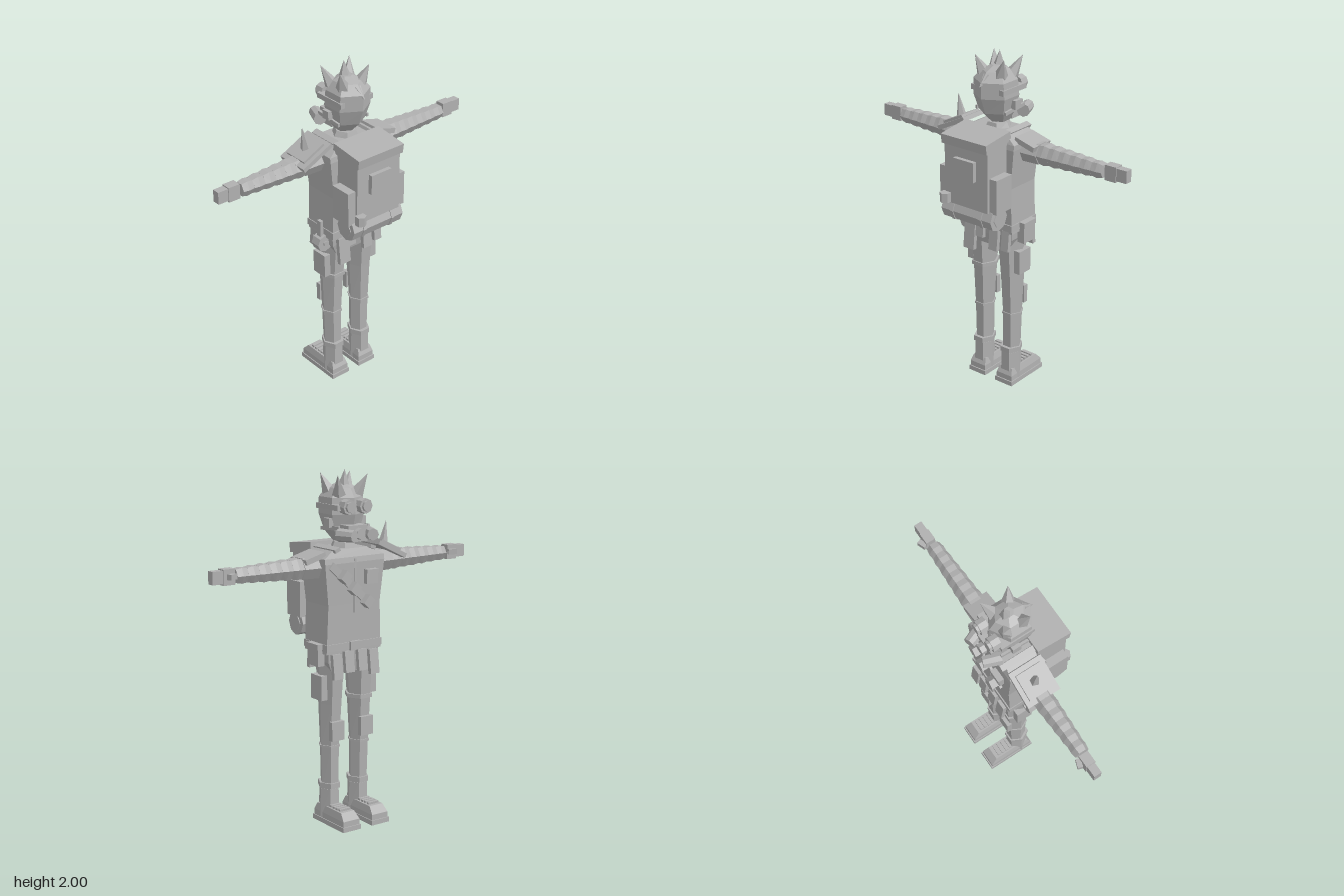
import * as THREE from 'three';

const grey = new THREE.MeshStandardMaterial({ color: 0xb0b0b0, flatShading: true });
grey.name = 'plain grey';

export function createModel() {
  const model = new THREE.Group();
  model.name = 'wastelandTraveller';

  const add = (name, geometry, x = 0, y = 0, z = 0, rx = 0, ry = 0, rz = 0) => {
    const mesh = new THREE.Mesh(geometry, grey);
    mesh.name = name;
    mesh.position.set(x, y, z);
    mesh.rotation.set(rx, ry, rz);
    model.add(mesh);
    return mesh;
  };
  const box = (name, w, h, d, ...place) => add(name, new THREE.BoxGeometry(w, h, d), ...place);
  const tube = (name, r0, r1, h, n, ...place) => add(name, new THREE.CylinderGeometry(r0, r1, h, n), ...place);

  // closed solid through n-sided rings, each [y, radiusX, radiusZ, centreX, centreZ]
  const loft = (rings, n, phase = 0) => {
    const corner = ([y, rx, rz, cx = 0, cz = 0], i) => {
      const a = phase + (i / n) * Math.PI * 2;
      return [cx + rx * Math.cos(a), y, cz + rz * Math.sin(a)];
    };
    const p = [];
    const first = rings[0], last = rings[rings.length - 1];
    const middle = ([y, , , cx = 0, cz = 0]) => [cx, y, cz];
    for (let i = 0; i < n; i++) {
      for (let k = 0; k < rings.length - 1; k++) {
        const a = corner(rings[k], i), b = corner(rings[k + 1], i);
        const c = corner(rings[k], i + 1), d = corner(rings[k + 1], i + 1);
        p.push(...a, ...b, ...c, ...c, ...b, ...d);
      }
      p.push(...middle(first), ...corner(first, i), ...corner(first, i + 1));
      p.push(...middle(last), ...corner(last, i + 1), ...corner(last, i));
    }
    const g = new THREE.BufferGeometry();
    g.setAttribute('position', new THREE.Float32BufferAttribute(p, 3));
    g.computeVertexNormals();
    return g;
  };
  // the same with rectangular rings, given by half widths
  const blockLoft = (rings) =>
    loft(rings.map(([y, w, d, x, z]) => [y, w * Math.SQRT2, d * Math.SQRT2, x, z]), 4, Math.PI / 4);

  // pointed spike from a base to a tip
  const spike = (name, base, tip, r) => {
    const a = new THREE.Vector3(...base), b = new THREE.Vector3(...tip);
    const mesh = add(name, new THREE.ConeGeometry(r, a.distanceTo(b), 5));
    mesh.position.copy(a).lerp(b, 0.5);
    mesh.quaternion.setFromUnitVectors(new THREE.Vector3(0, 1, 0), b.sub(a).normalize());
  };

  // head, neck and spiked crown
  add('head', loft([
    [1.61, 0.06, 0.06, 0, -0.05], [1.67, 0.1, 0.1, 0, -0.03], [1.76, 0.125, 0.13, 0, -0.025],
    [1.85, 0.12, 0.125, 0, -0.02], [1.9, 0.08, 0.085, 0, -0.025], [1.925, 0.03, 0.03, 0, -0.03],
  ], 6, Math.PI / 6));
  box('headBand', 0.225, 0.03, 0.2, 0, 1.8, -0.045);
  add('neck', loft([[1.55, 0.045, 0.06], [1.6, 0.035, 0.05], [1.66, 0.03, 0.045]], 6), 0, 0, -0.05);
  spike('crownSpike', [0, 1.89, -0.045], [0, 2, -0.055], 0.042);
  spike('backSpike', [0, 1.87, 0.05], [0, 1.83, 0.12], 0.03);
  for (const s of [-1, 1]) {
    spike('crownSpike', [s * 0.06, 1.87, -0.085], [s * 0.1, 1.975, -0.13], 0.04);
    spike('crownSpike', [s * 0.06, 1.88, 0.01], [s * 0.1, 1.98, 0.035], 0.04);
  }

  // goggles and breathing mask
  box('mask', 0.13, 0.09, 0.1, 0, 1.66, -0.13);
  tube('mouthValve', 0.032, 0.032, 0.05, 6, 0, 1.66, -0.185, Math.PI / 2);
  for (const s of [-1, 1]) {
    tube('goggleRim', 0.042, 0.042, 0.05, 8, s * 0.055, 1.805, -0.155, Math.PI / 2);
    tube('goggleLens', 0.03, 0.03, 0.03, 8, s * 0.055, 1.805, -0.18, Math.PI / 2);
    tube('maskFilter', 0.033, 0.038, 0.1, 8, s * 0.08, 1.655, -0.185, -Math.PI / 2, 0, s * 0.35);
    box('maskStrap', 0.012, 0.02, 0.17, s * 0.1, 1.685, -0.06, 0.1);
    box('earPiece', 0.03, 0.05, 0.05, s * 0.11, 1.715, -0.06);
  }

  // jacket and hips
  add('jacket', blockLoft([
    [1.0, 0.185, 0.105, 0, -0.04], [1.27, 0.175, 0.108, 0, -0.04], [1.5, 0.2, 0.115, 0, -0.04],
    [1.53, 0.2, 0.11, 0, -0.04], [1.575, 0.13, 0.09, 0, -0.04],
  ]));
  add('collar', loft([[1.55, 0.09, 0.085], [1.605, 0.06, 0.065]], 6), 0, 0, -0.045);
  add('hips', blockLoft([[0.88, 0.13, 0.075], [0.95, 0.165, 0.09], [1.06, 0.175, 0.1]]), 0, 0, -0.045);
  box('belt', 0.375, 0.04, 0.225, 0, 1.035, -0.04);
  box('beltBuckle', 0.07, 0.05, 0.02, 0, 1.035, -0.155);

  // hanging flaps and belt pouches: [x, y, z, width, height, tilt]
  for (const [x, y, z, w, h, tilt] of [
    [-0.11, 0.92, 0.07, 0.075, 0.16, -0.1], [0.06, 0.94, 0.065, 0.06, 0.13, -0.1],
    [-0.05, 0.97, 0.055, 0.06, 0.09, -0.1], [0.14, 0.95, 0.06, 0.05, 0.12, -0.1],
    [-0.12, 0.93, -0.165, 0.06, 0.14, 0.12], [-0.04, 0.95, -0.165, 0.06, 0.12, 0.12],
    [0.05, 0.95, -0.165, 0.06, 0.12, 0.12], [0.13, 0.93, -0.165, 0.06, 0.14, 0.12],
  ]) box('hipFlap', w, h, 0.025, x, y, z, tilt);

  // chest straps and pouches
  const slant = Math.atan2(0.24, 0.27);
  box('bandolier', 0.36, 0.045, 0.015, 0.03, 1.375, -0.158, 0, 0, slant);
  for (const [x, y] of [[0.09, 1.43], [0.025, 1.36], [-0.065, 1.28]])
    box('bandolierPouch', 0.05, 0.06, 0.045, x, y, -0.182, 0, 0, slant);
  box('chestPocket', 0.075, 0.07, 0.03, -0.1, 1.41, -0.165);
  box('pocketFlap', 0.08, 0.022, 0.04, -0.1, 1.445, -0.168);
  box('jacketSeam', 0.012, 0.3, 0.008, 0, 1.37, -0.153);
  for (const s of [-1, 1]) box('packStrap', 0.035, 0.02, 0.24, s * 0.12, 1.575, -0.04, 0, 0, -s * 0.4);

  // backpack with side pockets and bedroll
  box('backpack', 0.3, 0.37, 0.17, 0, 1.36, 0.15);
  box('packLid', 0.315, 0.055, 0.21, 0, 1.56, 0.15, 0.12);
  box('packPocket', 0.14, 0.115, 0.03, 0, 1.4, 0.245);
  for (const s of [-1, 1]) box('sidePocket', 0.05, 0.2, 0.13, s * 0.175, 1.275, 0.155);
  tube('bedroll', 0.072, 0.072, 0.35, 8, 0, 1.13, 0.17, 0, 0, Math.PI / 2);
  for (const s of [-1, 1]) {
    tube('bedrollCore', 0.045, 0.045, 0.36, 6, 0, 1.13, 0.17, 0, 0, Math.PI / 2);
    tube('bedrollStrap', 0.077, 0.077, 0.02, 8, s * 0.1, 1.13, 0.17, 0, 0, Math.PI / 2);
  }
  tube('packTin', 0.032, 0.032, 0.055, 6, -0.137, 1.207, 0.25);

  // arms: stepped sleeves with rolled folds
  const sleeve = [[0.16, 0.07, 0.07], [0.3, 0.066, 0.066]];
  for (let k = 0; k < 6; k++) {
    const x = 0.3 + k * 0.068, r = 0.064 - k * 0.0035;
    sleeve.push([x, r - 0.003, r - 0.003], [x + 0.034, r + 0.002, r], [x + 0.068, r - 0.006, r - 0.006]);
  }
  for (const s of [-1, 1]) {
    add('arm', loft(sleeve, 6, Math.PI / 6), 0, 1.48, -0.05, 0, 0, -s * Math.PI / 2);
    box('palm', 0.07, 0.085, 0.055, s * 0.755, 1.482, -0.055);
    box('fingers', 0.065, 0.07, 0.045, s * 0.82, 1.483, -0.055);
    box('thumb', 0.05, 0.03, 0.028, s * 0.745, 1.485, -0.095, 0, s * 0.35, 0);
  }

  // shoulder armour
  box('shoulderPlate', 0.21, 0.025, 0.2, -0.265, 1.548, -0.05, 0, 0, 0.45);
  box('shoulderPlateRaised', 0.15, 0.025, 0.15, -0.27, 1.562, -0.05, 0, 0, 0.45);
  spike('shoulderSpike', [-0.268, 1.555, -0.05], [-0.292, 1.7, -0.05], 0.032);
  box('smallShoulderPad', 0.13, 0.03, 0.15, 0.235, 1.535, -0.045, 0, 0, -0.27);

  // legs and boots
  for (const s of [-1, 1]) {
    add('leg', loft([
      [0.2, 0.052, 0.056, s * 0.1, -0.05], [0.46, 0.056, 0.062, s * 0.102, -0.052],
      [0.7, 0.064, 0.078, s * 0.1, -0.053], [0.97, 0.076, 0.1, s * 0.098, -0.05],
    ], 6));
    add('kneeBand', loft([[0.449, 0.063, 0.068], [0.461, 0.063, 0.068]], 6), s * 0.102, 0, -0.052);
    box('kneePad', 0.085, 0.11, 0.03, s * 0.1, 0.55, -0.122);
    add('bootShaft', loft([[0.03, 0.062, 0.068], [0.2, 0.056, 0.064]], 6), s * 0.1, 0, -0.045);
    add('bootCuff', loft([[0.205, 0.063, 0.073], [0.236, 0.063, 0.073]], 6), s * 0.1, 0, -0.045);
    box('bootSole', 0.122, 0.028, 0.3, s * 0.1, 0.014, -0.12);
    add('bootFoot', blockLoft([[0.025, 0.056, 0.143, 0, -0.12], [0.06, 0.055, 0.143, 0, -0.12],
      [0.1, 0.045, 0.115, 0, -0.11]]), s * 0.1);
    for (let k = 0; k < 4; k++) box('bootLace', 0.07, 0.014, 0.018, s * 0.1, 0.105, -0.11 - k * 0.028);
    box('thighPouch', 0.04, 0.14, 0.1, s * 0.17, 0.8, -0.05);
  }
  add('thighBand', loft([[0.71, 0.08, 0.088], [0.732, 0.08, 0.088]], 6), -0.1, 0, -0.053);

  // side gear
  box('hipPouch', 0.045, 0.12, 0.1, 0.193, 0.99, -0.055);
  box('hipPouchFlap', 0.055, 0.03, 0.108, 0.193, 1.04, -0.055);
  tube('canteen', 0.052, 0.052, 0.06, 8, -0.19, 0.965, -0.02, Math.PI / 2);
  tube('canteenCap', 0.016, 0.016, 0.075, 6, -0.19, 0.965, -0.02, Math.PI / 2);
  box('canteenStrap', 0.02, 0.11, 0.03, -0.203, 1.05, -0.02);

  return model;
}
